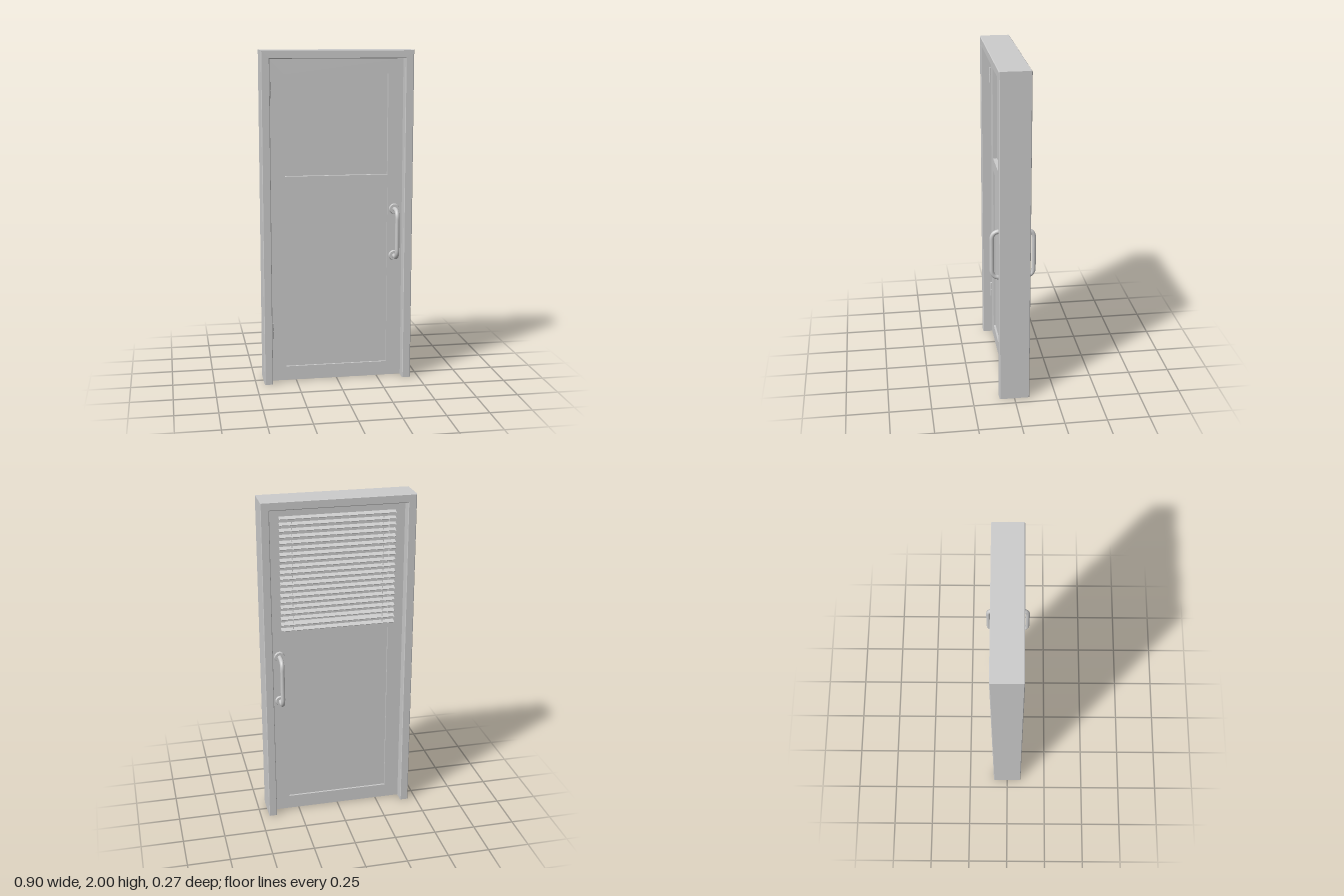
import * as THREE from 'three';

const grey = new THREE.MeshStandardMaterial({ color: 0xcccccc });
const thin = new THREE.MeshStandardMaterial({ color: 0xcccccc, side: THREE.DoubleSide });

function add(parent, name, geometry, x = 0, y = 0, z = 0, material = grey) {
  const mesh = new THREE.Mesh(geometry, material);
  mesh.name = name;
  mesh.position.set(x, y, z);
  parent.add(mesh);
  return mesh;
}

function polygon(points) {
  return new THREE.Shape(points.map(([x, y]) => new THREE.Vector2(x, y)));
}

function rectangle(x0, y0, x1, y1) {
  return polygon([[x0, y0], [x1, y0], [x1, y1], [x0, y1]]);
}

// Door casing: a bevelled arch, hollow and open under both jambs
function frameGeometry() {
  const b = 0.004;
  const arch = polygon([
    [-0.45, -b], [-0.40, -b], [-0.40, 1.95], [0.40, 1.95],
    [0.40, -b], [0.45, -b], [0.45, 2], [-0.45, 2],
  ]);
  const source = new THREE.ExtrudeGeometry(arch, {
    depth: 0.18 - 2 * b, bevelThickness: b, bevelSize: b, bevelOffset: -b, bevelSegments: 1,
  });
  const p = source.attributes.position;
  const kept = [];
  for (let i = 0; i < p.count; i += 3) {
    if (Math.max(p.getY(i), p.getY(i + 1), p.getY(i + 2)) < 0.001) continue;
    for (let j = i; j < i + 3; j++) {
      kept.push(p.getX(j), Math.max(0, p.getY(j)), p.getZ(j) - 0.09 + b);
    }
  }
  const geometry = new THREE.BufferGeometry();
  geometry.setAttribute('position', new THREE.Float32BufferAttribute(kept, 3));
  geometry.computeVertexNormals();
  return geometry;
}

// Pull handle on a +z face: bent bar with two round roses
function makeHandle(name) {
  const handle = new THREE.Group();
  handle.name = name;
  const lo = 0.762, hi = 1.05, out = 0.122, r = 0.05;
  const v = (y, z) => new THREE.Vector3(0, y, z);
  const path = new THREE.CurvePath();
  path.add(new THREE.LineCurve3(v(lo, 0.03), v(lo, out - r)));
  path.add(new THREE.QuadraticBezierCurve3(v(lo, out - r), v(lo, out), v(lo + r, out)));
  path.add(new THREE.LineCurve3(v(lo + r, out), v(hi - r, out)));
  path.add(new THREE.QuadraticBezierCurve3(v(hi - r, out), v(hi, out), v(hi, out - r)));
  path.add(new THREE.LineCurve3(v(hi, out - r), v(hi, 0.03)));
  add(handle, 'handleBar', new THREE.TubeGeometry(path, 64, 0.013, 16));
  for (const y of [lo, hi]) {
    const rose = add(handle, 'handleRose', new THREE.CylinderGeometry(0.028, 0.032, 0.012, 24), 0, y, 0.036);
    rose.rotation.x = Math.PI / 2;
  }
  handle.position.x = 0.352;
  return handle;
}

// Venetian blind on the back of the window
function makeBlind() {
  const blind = new THREE.Group();
  blind.name = 'blind';
  const count = 20, bottom = 1.225, top = 1.895;
  const slat = new THREE.BoxGeometry(0.68, 0.003, 0.028);
  for (let i = 0; i < count; i++) {
    const y = bottom + (top - bottom) * i / (count - 1);
    add(blind, 'blindSlat', slat, 0, y, -0.047).rotation.x = -0.4;
  }
  for (const x of [-0.268, 0.268]) {
    add(blind, 'blindCord', new THREE.BoxGeometry(0.004, top - bottom, 0.004), x, (top + bottom) / 2, -0.047);
  }
  return blind;
}

export function createModel() {
  const model = new THREE.Group();
  model.name = 'door';

  add(model, 'frame', frameGeometry(), 0, 0, 0, thin);

  // Leaf with a window opening and a lower panel opening
  const leaf = rectangle(-0.399, 0.004, 0.399, 1.949);
  leaf.holes.push(rectangle(-0.31, 1.26, 0.31, 1.86), rectangle(-0.31, 0.09, 0.31, 1.18));
  add(model, 'doorLeaf', new THREE.ExtrudeGeometry(leaf, { depth: 0.06, bevelEnabled: false }), 0, 0, -0.03);
  add(model, 'windowPane', new THREE.BoxGeometry(0.62, 0.6, 0.01), 0, 1.56, 0);
  add(model, 'lowerPanel', new THREE.BoxGeometry(0.62, 1.09, 0.036), 0, 0.635, 0);

  // Handles on both faces
  model.add(makeHandle('frontHandle'));
  const back = makeHandle('backHandle');
  back.rotation.y = Math.PI;
  model.add(back);

  model.add(makeBlind());

  // Hinges: two knuckles around a pin, with a small leaf on the door
  for (const y of [0.318, 1.77]) {
    const hinge = new THREE.Group();
    hinge.name = 'hinge';
    hinge.position.set(-0.395, y, 0.034);
    for (const side of [-1, 1]) {
      add(hinge, 'hingeKnuckle', new THREE.CylinderGeometry(0.008, 0.008, 0.046, 16), 0, side * 0.0245, 0);
    }
    add(hinge, 'hingePin', new THREE.CylinderGeometry(0.005, 0.005, 0.096, 12));
    model.add(hinge);
  }

  return model;
}
